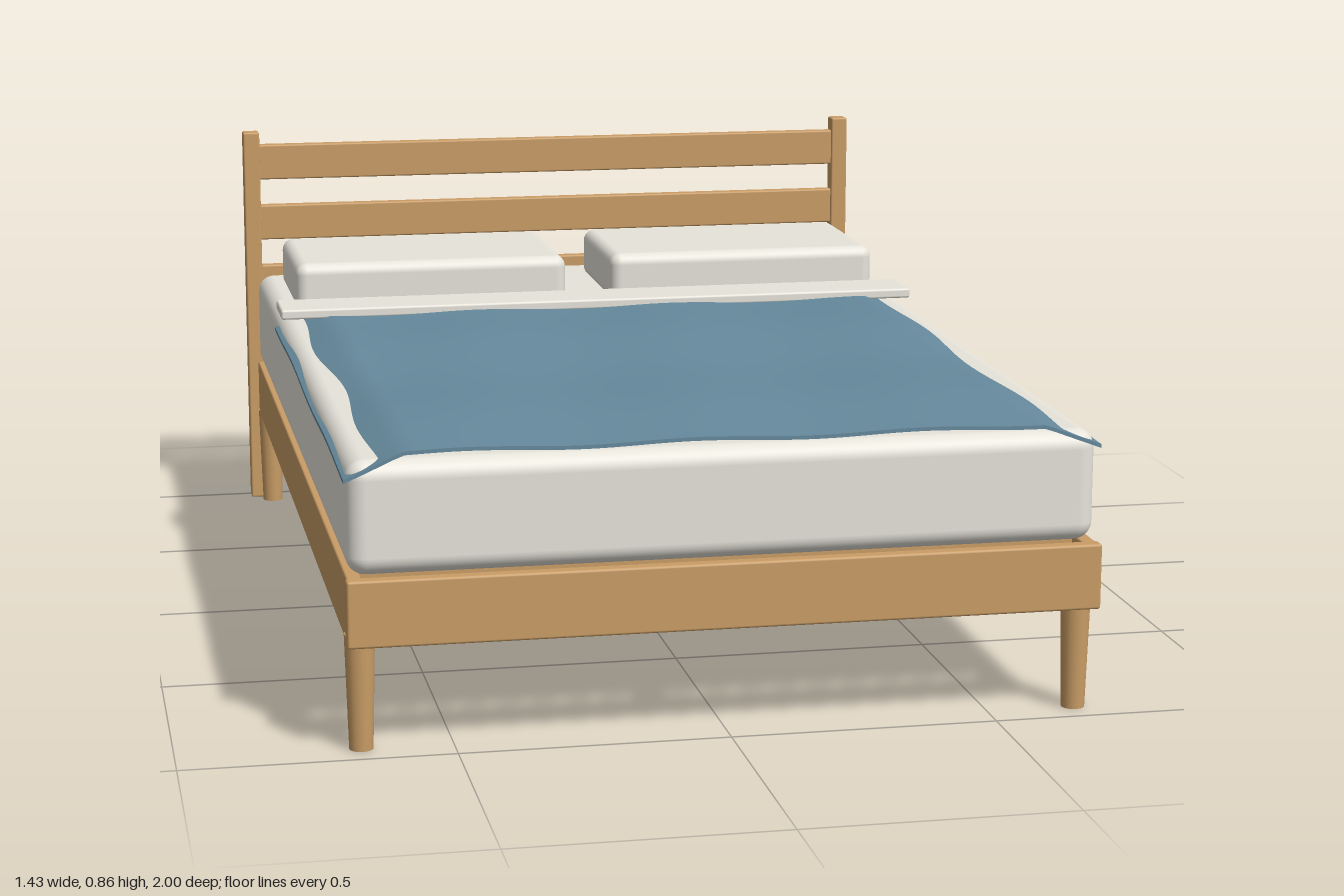
import * as THREE from 'three';
import { RoundedBoxGeometry } from 'three/addons/geometries/RoundedBoxGeometry.js';

const paint = (name, color) => {
  const m = new THREE.MeshStandardMaterial({ color });
  m.name = name;
  return m;
};

export function createModel() {
  const bed = new THREE.Group();
  bed.name = 'bed';
  const wood = paint('oak', 0xc99d66);
  const linen = paint('linen', 0xe8e5dc);
  const blue = paint('blue wool', 0x668a9d);

  const add = (name, geometry, material, x = 0, y = 0, z = 0) => {
    const mesh = new THREE.Mesh(geometry, material);
    mesh.name = name;
    mesh.position.set(x, y, z);
    bed.add(mesh);
    return mesh;
  };
  // Block given by its [min, max] along each axis; r rounds the edges
  const block = (name, material, [x0, x1], [y0, y1], [z0, z1], r = 0, segments = 2) => {
    const size = [x1 - x0, y1 - y0, z1 - z0];
    const geometry = r ? new RoundedBoxGeometry(...size, segments, r) : new THREE.BoxGeometry(...size);
    return add(name, geometry, material, (x0 + x1) / 2, (y0 + y1) / 2, (z0 + z1) / 2);
  };

  // Frame rails
  block('frontRail', wood, [-0.695, 0.695], [0.203, 0.327], [0.972, 1], 0.005);
  block('backRail', wood, [-0.685, 0.685], [0.203, 0.325], [-0.994, -0.968], 0.004);

  for (const s of [-1, 1]) {
    const side = s < 0 ? 'right' : 'left';
    const span = (a, b) => (s > 0 ? [a, b] : [-b, -a]);
    block(side + 'SideRail', wood, span(0.665, 0.692), [0.203, 0.325], [-0.957, 0.98], 0.004);
    block(side + 'HeadboardPost', wood, span(0.677, 0.714), [0, 0.86], [-1, -0.96], 0.004);
    // Tapered legs
    for (const [end, z] of [['Front', 0.937], ['Back', -0.937]]) {
      add(side + end + 'Leg', new THREE.CylinderGeometry(0.028, 0.022, 0.215, 20), wood, s * 0.667, 0.1075, z);
    }
    // Pillows
    block(side + 'Pillow', linen, span(0.05, 0.643), [0.53, 0.638], [-0.82, -0.453], 0.024, 4);
  }

  // Headboard rails
  for (const y of [0.79, 0.65, 0.51]) {
    block('headboardRail', wood, [-0.685, 0.685], [y - 0.04, y + 0.04], [-0.994, -0.967], 0.004);
  }

  // Slats resting on the centre beam
  block('centreBeam', wood, [-0.022, 0.022], [0.225, 0.285], [-0.957, 0.975]);
  for (let i = 0; i < 18; i++) {
    const z = -0.87 + i * 0.103;
    block('slat', wood, [-0.668, 0.668], [0.285, 0.322], [z - 0.032, z + 0.032]);
  }

  // Mattress
  block('mattress', linen, [-0.69, 0.69], [0.325, 0.535], [-0.945, 0.975], 0.035, 5);

  // Blanket: thin slab rippled along its length, drooping at both sides
  const cloth = new THREE.BoxGeometry(1.39, 0.007, 1.39, 64, 1, 64);
  const p = cloth.attributes.position;
  for (let i = 0; i < p.count; i++) {
    const x = p.getX(i), z = p.getZ(i) + 0.28;
    const droop = Math.max(0, Math.abs(x) - 0.59) * 0.42;
    const ripple = -0.0035 * Math.cos((z - 0.35) * 9) + 0.003 * Math.sin(x * 15 + z * 2.5);
    p.setY(i, p.getY(i) + 0.552 + ripple - droop);
  }
  cloth.computeVertexNormals();
  add('blanket', cloth, blue, 0, 0, 0.28);

  // Folded sheet across the blanket's head end
  block('foldedSheet', linen, [-0.69, 0.69], [0.547, 0.568], [-0.43, -0.304], 0.005);

  return bed;
}
